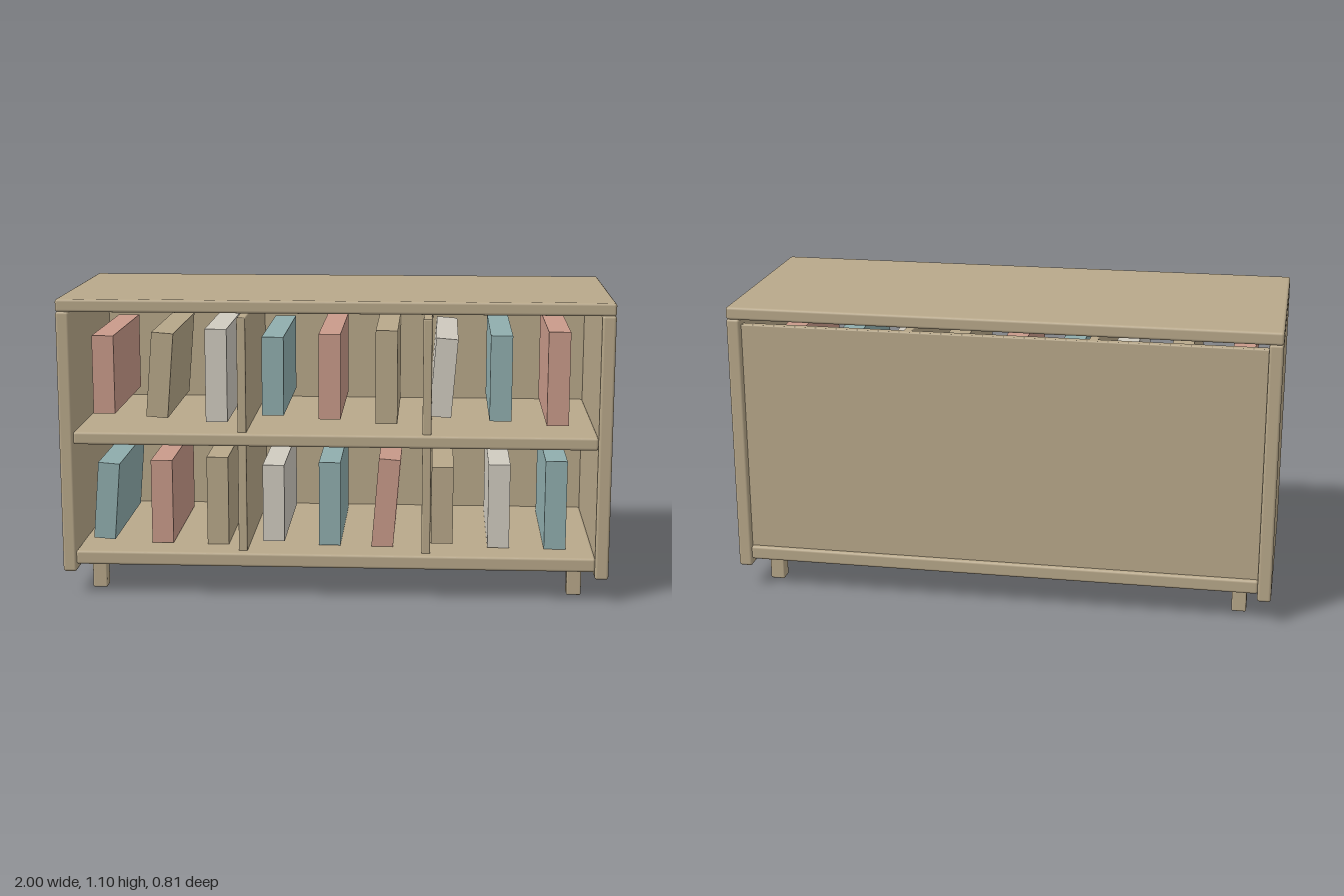
import * as THREE from 'three';
import { RoundedBoxGeometry } from 'three/addons/geometries/RoundedBoxGeometry.js';

const mat = (name, color) => {
  const m = new THREE.MeshStandardMaterial({ color });
  m.name = name;
  return m;
};

export function createModel() {
  const group = new THREE.Group();
  group.name = 'bookcase';
  const wood = mat('tan wood', 0xb8a88a);
  const teal = mat('dusty teal', 0x90aeae);
  const red = mat('dusty red', 0xc99a8a);
  const white = mat('warm white', 0xd0cbc0);

  // Board with softened edges, given by its extents on each axis
  const board = (name, [x0, x1], [y0, y1], [z0, z1], r = 0.01) => {
    const mesh = new THREE.Mesh(new RoundedBoxGeometry(x1 - x0, y1 - y0, z1 - z0, 3, r), wood);
    mesh.position.set((x0 + x1) / 2, (y0 + y1) / 2, (z0 + z1) / 2);
    mesh.name = name;
    group.add(mesh);
  };

  // Carcass
  const depth = [-0.405, 0.405];
  board('top', [-1, 1], [1.053, 1.1], depth);
  board('bottom', [-0.952, 0.952], [0.115, 0.167], [-0.4, 0.4]);
  board('shelf', [-0.952, 0.952], [0.565, 0.612], [-0.37, 0.39]);
  board('backPanel', [-0.952, 0.952], [0.15, 1.032], [-0.385, -0.355], 0.005);

  for (const s of [-1, 1]) {
    const side = s < 0 ? 'right' : 'left';
    board(side + 'Side', s < 0 ? [-1, -0.95] : [0.95, 1], [0.088, 1.055], depth);
    const d = s * 0.336;
    board(side + 'Divider', [d - 0.016, d + 0.016], [0.16, 1.032], [-0.365, 0.365], 0.005);
    // Legs
    for (const z of [-0.28, 0.28]) {
      const x = s * 0.883;
      board(side + (z > 0 ? 'FrontLeg' : 'BackLeg'),
        [x - 0.027, x + 0.027], [0, 0.125], [z - 0.027, z + 0.027], 0.006);
    }
  }

  // Books: lower row first, every fifth one leaning
  const covers = [teal, red, wood, white];
  const heights = [0.29, 0.315, 0.345];
  for (let n = 0; n < 18; n++) {
    const col = n % 9;
    const book = new THREE.Mesh(new THREE.BoxGeometry(0.08, heights[n % 3], 0.56), covers[n % 4]);
    book.position.set(-0.855 + col * 0.2083, n < 9 ? 0.327 : 0.805, 0);
    if (n % 5 === 0) book.rotation.z = -0.08;
    book.name = (n < 9 ? 'lowerBook' : 'upperBook') + (col + 1);
    group.add(book);
  }
  return group;
}
